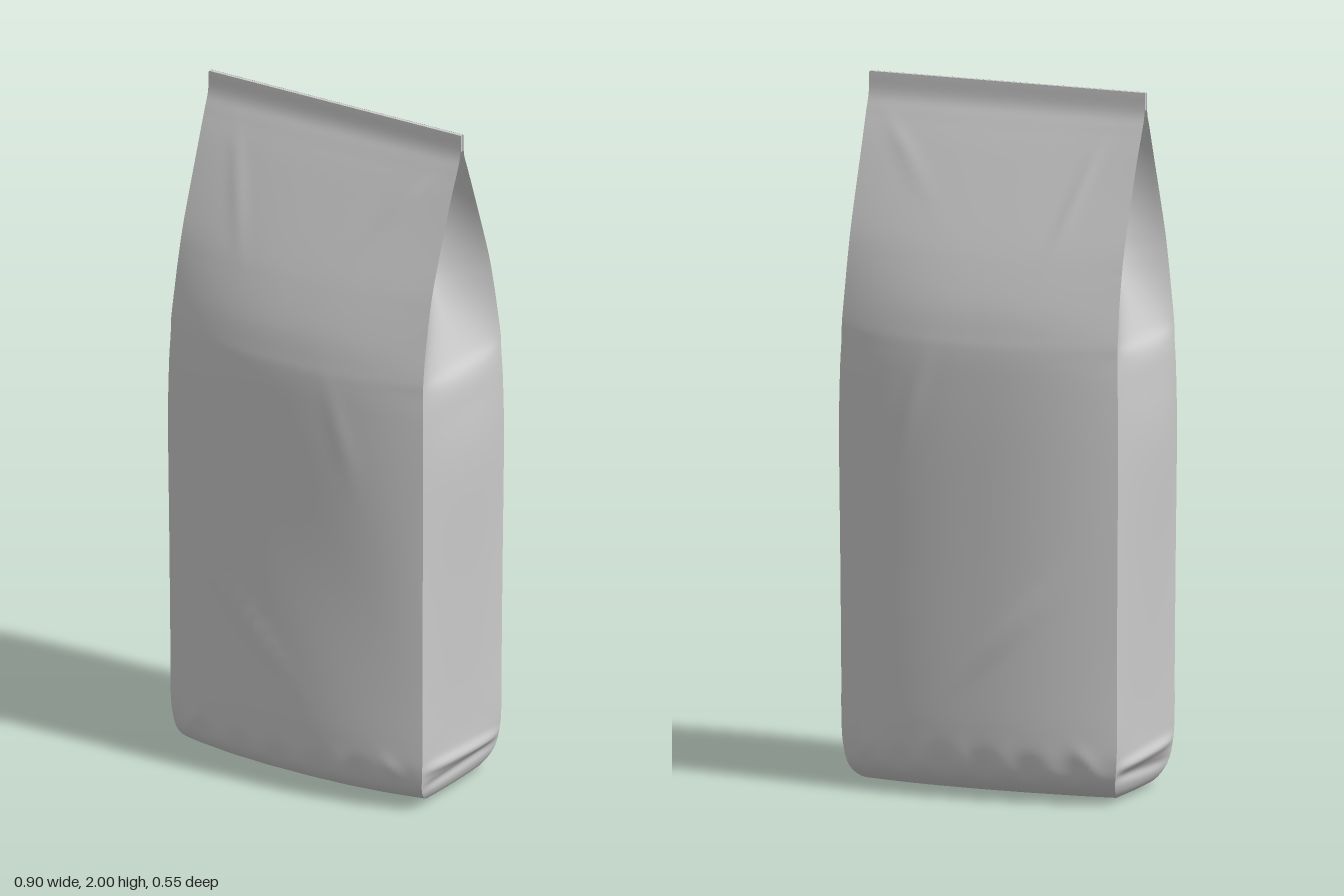
import * as THREE from 'three';

// Bag profile, bottom to top: height, corner x, corner z, panel middle z, side middle x
const ROWS = [
  [0, 0.36, 0.07, 0.095, 0.36],
  [0.02, 0.388, 0.14, 0.18, 0.392],
  [0.06, 0.406, 0.185, 0.235, 0.41],
  [0.12, 0.416, 0.2, 0.26, 0.42],
  [0.2, 0.42, 0.203, 0.267, 0.421],
  [0.35, 0.42, 0.204, 0.268, 0.424],
  [0.65, 0.422, 0.206, 0.267, 0.434],
  [1.0, 0.425, 0.208, 0.267, 0.449],
  [1.18, 0.423, 0.206, 0.264, 0.444],
  [1.27, 0.42, 0.202, 0.26, 0.435],
  [1.32, 0.42, 0.199, 0.253, 0.405],
  [1.4, 0.418, 0.186, 0.236, 0.37],
  [1.5, 0.417, 0.165, 0.203, 0.33],
  [1.6, 0.417, 0.137, 0.163, 0.295],
  [1.8, 0.418, 0.064, 0.074, 0.25],
  [1.89, 0.42, 0.028, 0.032, 0.245],
  [1.94, 0.42, 0.01, 0.011, 0.245],
  [2, 0.42, 0.006, 0.006, 0.245],
];
const spline = (pick) => new THREE.CatmullRomCurve3(
  ROWS.map((r) => new THREE.Vector3(...pick(r))), false, 'catmullrom', 0.5);
const cornerCurve = spline((r) => [r[0], r[1], r[2]]);
const middleCurve = spline((r) => [r[3], r[4], 0]);

function section(t) {
  const a = cornerCurve.getPoint(t), b = middleCurve.getPoint(t);
  return { y: a.x, cx: a.y, cz: a.z, pz: b.x, sx: b.y };
}

const bell = (d, w) => Math.exp(-(d * d) / (w * w));

// Soft straight crease between two points: [x1, y1, x2, y2, height, width]
const FOLDS = [
  [-0.25, 0.62, -0.02, 0.39, 0.006, 0.022],
  [0.2, 1.7, 0.37, 1.9, 0.005, 0.02],
  [-0.3, 1.84, -0.22, 1.6, 0.005, 0.02],
  [0.14, 1.25, 0.22, 1.0, 0.003, 0.03],
  [-0.37, 0.08, -0.31, 0.16, 0.007, 0.02],
  [0.37, 0.08, 0.31, 0.16, 0.007, 0.02],
];
function fold(x, y, [x1, y1, x2, y2, h, w]) {
  const dx = x2 - x1, dy = y2 - y1, len2 = dx * dx + dy * dy;
  const k = ((x - x1) * dx + (y - y1) * dy) / len2;
  const off = ((x - x1) * dy - (y - y1) * dx) / Math.sqrt(len2);
  return h * bell(off, w) * bell(k - 0.5, 0.5);
}

// Point on the front panel; u runs -1..1 across the width
function panelPoint(u, t) {
  const { y, cx, cz, pz } = section(t);
  const x = u * cx;
  const edge = 1 - u ** 4;
  let z = cz + (pz - cz) * (1 - Math.abs(u) ** 2.3);
  let dent = 0;
  for (const f of FOLDS) dent += fold(x, y, f);
  dent += 0.005 * Math.sin(x * 48) * bell(y - 0.09, 0.045);
  dent += 0.003 * Math.sin(x * 9 + y * 5) * bell(y - 0.7, 0.5);
  z += dent * edge * Math.min(1, cz / 0.06);
  return [x, y, z];
}

// Point on the side panel: flat below, folded inward as a gusset above
function sidePoint(u, t) {
  const { y, cx, cz, sx } = section(t);
  const z = u * cz;
  const power = 2.2 - 1.1 * THREE.MathUtils.smoothstep(y, 1.27, 1.6);
  const pleat = 0.012 * bell(y - 0.115 - z * 0.06, 0.016) - 0.008 * bell(y - 0.075 + z * 0.03, 0.016);
  return [cx + (sx - cx) * (1 - Math.abs(u) ** power) + pleat * (1 - u ** 4), y, z];
}

// Grid surface over u = -1..1, v = 0..1
function grid(nu, nv, point) {
  const pos = [], index = [];
  for (let j = 0; j <= nv; j++) {
    for (let i = 0; i <= nu; i++) pos.push(...point((i / nu) * 2 - 1, j / nv));
  }
  for (let j = 0; j < nv; j++) {
    for (let i = 0; i < nu; i++) {
      const a = j * (nu + 1) + i, c = a + nu + 1;
      index.push(a, a + 1, c + 1, a, c + 1, c);
    }
  }
  const g = new THREE.BufferGeometry();
  g.setAttribute('position', new THREE.Float32BufferAttribute(pos, 3));
  g.setIndex(index);
  g.computeVertexNormals();
  return g;
}

export function createModel() {
  const group = new THREE.Group();
  group.name = 'gussetedBag';
  const foil = new THREE.MeshStandardMaterial({ color: 0xcccccc, side: THREE.DoubleSide });
  foil.name = 'light grey foil';

  const add = (name, geometry) => {
    const mesh = new THREE.Mesh(geometry, foil);
    mesh.name = name;
    group.add(mesh);
    return mesh;
  };

  // Broad panels and gusseted sides, mirrored
  for (const s of [1, -1]) {
    add(s > 0 ? 'frontPanel' : 'backPanel', grid(64, 136, (u, t) => {
      const [x, y, z] = panelPoint(u * s, t);
      return [x, y, z * s];
    }));
    add(s > 0 ? 'leftGusset' : 'rightGusset', grid(24, 136, (u, t) => {
      const [x, y, z] = sidePoint(-u * s, t);
      return [x * s, y, z];
    }));
  }

  // Flat base closing the bottom
  add('base', grid(64, 4, (u, v) => {
    const [x, y, z] = panelPoint(u, 0);
    return [x, y, z * (v * 2 - 1)];
  }));

  // Sealed strip closing the top
  add('topSeal', new THREE.BoxGeometry(0.838, 0.05, 0.01)).position.y = 1.975;

  return group;
}
